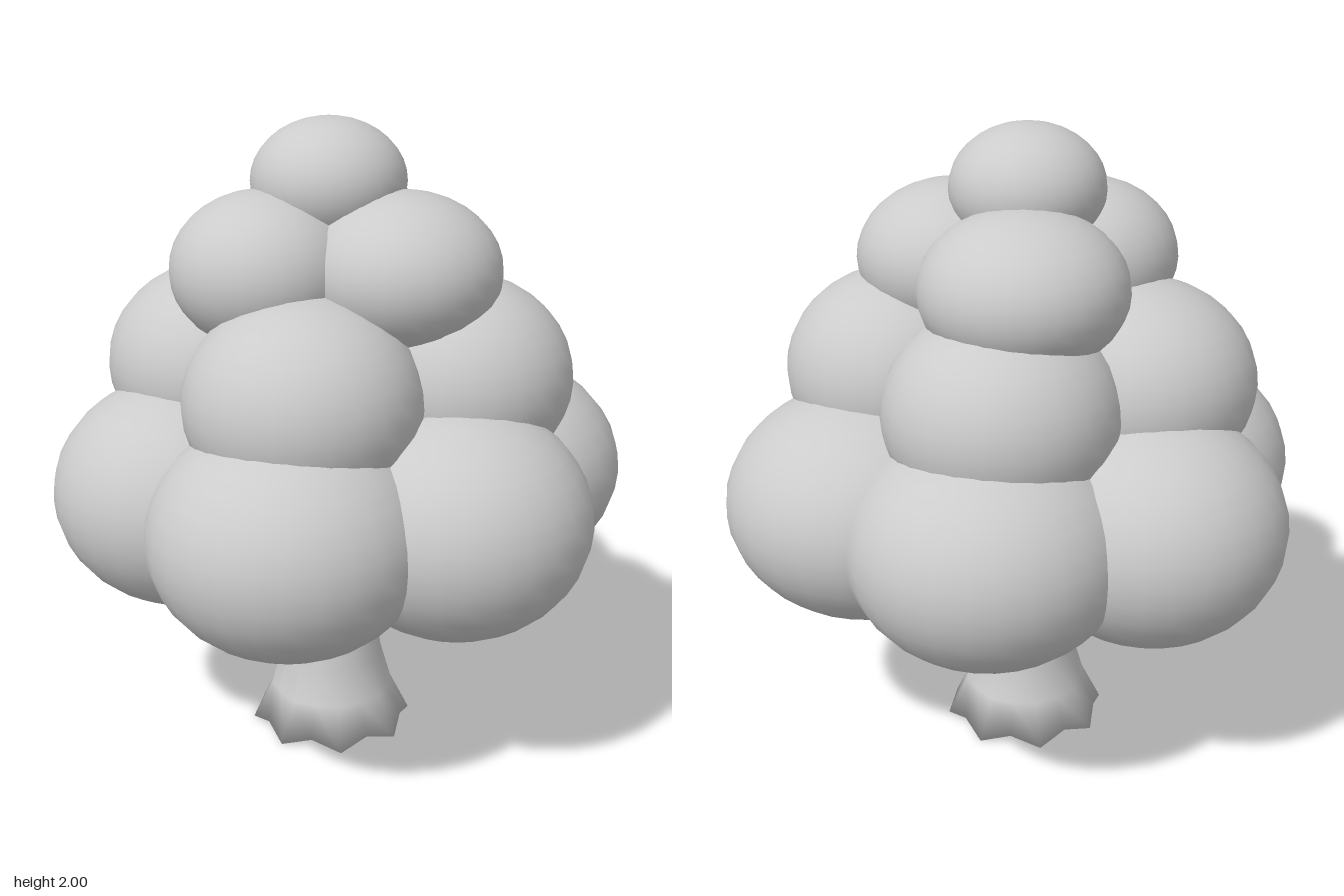
import * as THREE from 'three';

const material = new THREE.MeshStandardMaterial({ color: 0xcccccc, side: THREE.DoubleSide });

// Each lobe: x, z, horizontal radius
const tiers = [
  { name: 'lowerFoliage', y: 0.87, ry: 0.355, lobes: [
    [0.19, 0.44, 0.42], [-0.29, 0.37, 0.405], [-0.5, -0.07, 0.41],
    [-0.17, -0.44, 0.425], [0.31, -0.4, 0.44], [0.5, 0.04, 0.41]] },
  { name: 'middleFoliage', y: 1.23, ry: 0.315, lobes: [
    [0.14, 0.31, 0.355], [-0.32, 0.13, 0.37], [-0.13, -0.31, 0.355], [0.35, -0.18, 0.35]] },
  { name: 'upperFoliage', y: 1.57, ry: 0.235, lobes: [
    [-0.09, 0.21, 0.28], [-0.13, -0.2, 0.31], [0.24, -0.03, 0.3]] },
  { name: 'crownFoliage', y: 1.81, ry: 0.19, lobes: [[-0.01, 0, 0.235]] },
];

// Flared trunk whose foot is scalloped into short roots
function createTrunk() {
  const profile = [[0, 0.03], [0.25, 0.015], [0.195, 0.13], [0.165, 0.25], [0.145, 0.38], [0.125, 0.55], [0.12, 0.8]];
  const sides = 16;
  const geometry = new THREE.LatheGeometry(profile.map(([r, y]) => new THREE.Vector2(r, y)), sides);
  const p = geometry.attributes.position;
  for (let i = 0; i < p.count; i++) {
    const ring = i % profile.length;
    const wave = Math.floor(i / profile.length) % 2 ? -1 : 1;
    const amount = ring === 1 ? 0.05 : ring === 2 ? 0.02 : 0;
    const s = 1 + wave * amount;
    p.setXYZ(i, p.getX(i) * s, p.getY(i) - (ring === 1 ? wave * 0.015 : 0), p.getZ(i) * s);
  }
  geometry.computeVertexNormals();
  const trunk = new THREE.Mesh(geometry, material);
  trunk.name = 'trunk';
  return trunk;
}

export function createModel() {
  const tree = new THREE.Group();
  tree.name = 'tree';
  tree.add(createTrunk());

  // Stacked rings of flattened, overlapping leaf clumps
  const ball = new THREE.SphereGeometry(1, 28, 18);
  for (const { name, y, ry, lobes } of tiers) {
    const tier = new THREE.Group();
    tier.name = name;
    lobes.forEach(([x, z, r], i) => {
      const lobe = new THREE.Mesh(ball, material);
      lobe.name = `leafClump${i + 1}`;
      lobe.position.set(x, y, z);
      lobe.scale.set(r, ry, r);
      tier.add(lobe);
    });
    tree.add(tier);
  }
  return tree;
}
